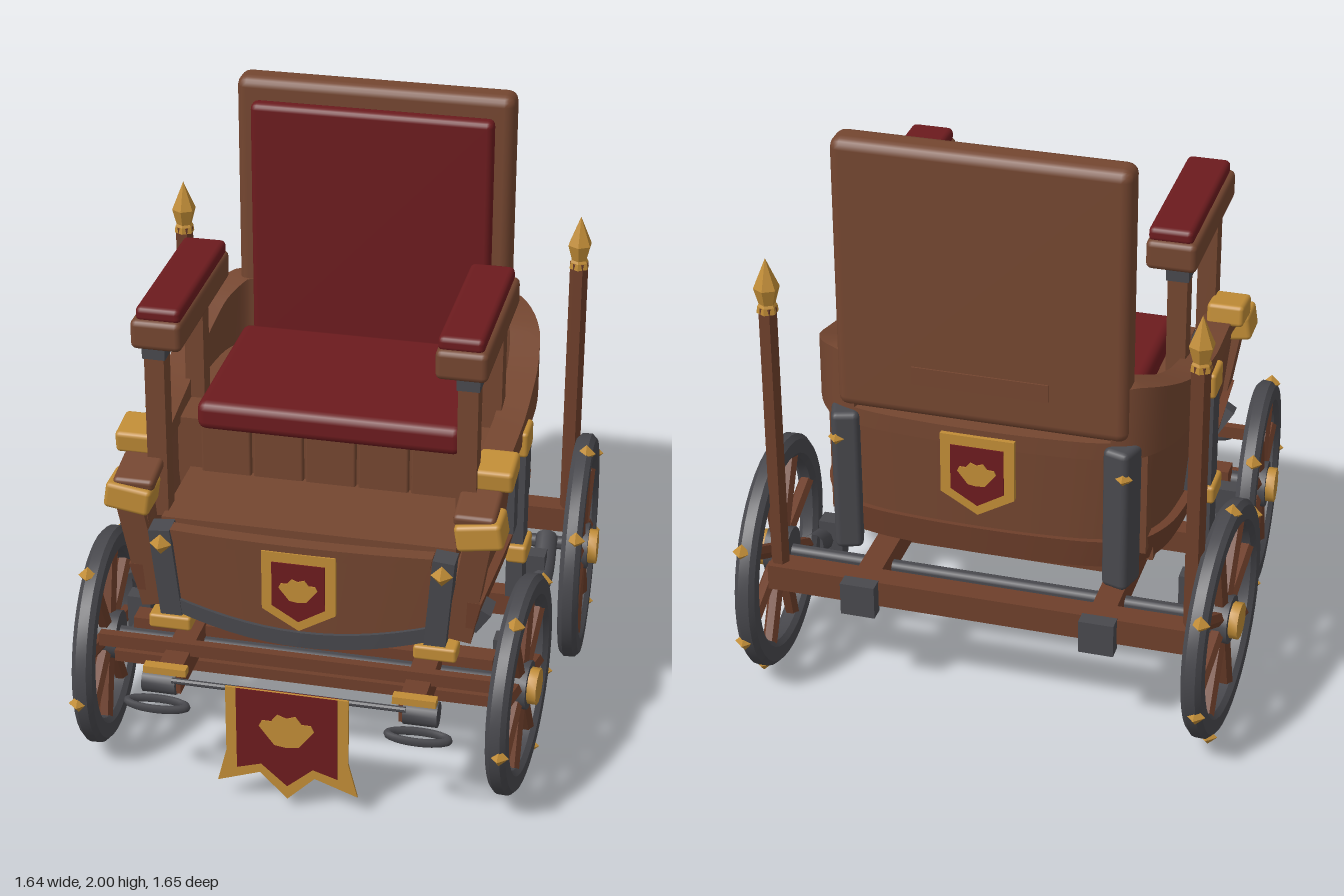
import * as THREE from 'three';
import { toCreasedNormals } from 'three/addons/utils/BufferGeometryUtils.js';
import { RoundedBoxGeometry } from 'three/addons/geometries/RoundedBoxGeometry.js';

const mat = (name, color) => Object.assign(new THREE.MeshStandardMaterial({ color }), { name });
const V = (x, y, z) => new THREE.Vector3(x, y, z);

export function createModel() {
  const root = new THREE.Group();
  root.name = 'carriageChair';
  const wood = mat('wood', 0x744630), redWood = mat('reddish wood', 0x6e3f2b);
  const iron = mat('dark iron', 0x48484d), gold = mat('gold', 0xc08c36), red = mat('red cloth', 0x6c1b1e);

  const add = (name, geo, m, x = 0, y = 0, z = 0, parent = root) => {
    const mesh = new THREE.Mesh(geo, m);
    mesh.name = name;
    mesh.position.set(x, y, z);
    parent.add(mesh);
    return mesh;
  };
  // Boxes given by their limits on each axis
  const box = (name, m, [x0, x1], [y0, y1], [z0, z1], r = 0) => add(name,
    r ? new RoundedBoxGeometry(x1 - x0, y1 - y0, z1 - z0, 2, r) : new THREE.BoxGeometry(x1 - x0, y1 - y0, z1 - z0),
    m, (x0 + x1) / 2, (y0 + y1) / 2, (z0 + z1) / 2);
  // Straight bar between two points; four sides make a beam
  const bar = (name, m, a, b, r, sides = 8, parent = root) => {
    const geo = toCreasedNormals(new THREE.CylinderGeometry(r, r, a.distanceTo(b), sides).rotateY(Math.PI / sides), 0.9);
    const mesh = add(name, geo, m, 0, 0, 0, parent);
    mesh.position.copy(a).lerp(b, 0.5);
    mesh.quaternion.setFromUnitVectors(V(0, 1, 0), b.clone().sub(a).normalize());
    return mesh;
  };
  const plate = (name, points, depth, m, parent, z = 0) => add(name,
    new THREE.ExtrudeGeometry(new THREE.Shape(points.map(p => new THREE.Vector2(...p))), { depth, bevelEnabled: false }),
    m, 0, 0, z, parent);
  const mirrored = p => [...p, ...p.filter(q => q[0] !== 0).reverse().map(([x, y]) => [-x, y])];

  // Tub: a U-shaped wall swept round the sides and back
  const half = [[0.575, 0.54], [0.59, 0.25], [0.6, -0.05], [0.595, -0.28], [0.565, -0.44], [0.49, -0.55], [0.38, -0.59], [0.19, -0.61]];
  const outline = [...half, [0, -0.615], ...half.slice().reverse().map(([x, z]) => [-x, z])];
  const curve = new THREE.CatmullRomCurve3(outline.map(([x, z]) => V(x, 0, z)));
  const heights = [[0.55, 1.0], [0.3, 1.07], [0, 1.1], [-0.25, 1.165], [-0.55, 1.27], [-1, 1.27]];
  const rimTop = (x, z) => {
    if (Math.abs(x) < 0.42) return 1.08;
    for (let i = 1; i < heights.length; i++) {
      const [za, ya] = heights[i - 1], [zb, yb] = heights[i];
      if (z >= zb) return ya + (yb - ya) * Math.max(0, (z - za) / (zb - za));
    }
    return 1.27;
  };
  const wall = (name, m, out, thick, y0, y1, taper) => {
    const n = 64, pos = [], idx = [];
    for (let i = 0; i <= n; i++) {
      const p = curve.getPoint(i / n), t = curve.getTangent(i / n);
      const at = (d, y, k) => pos.push((p.x + t.z * d) * k, y, (p.z - t.x * d) * (k + 1) / 2);
      const lo = y0(p.x, p.z), hi = y1(p.x, p.z);
      at(-out, lo, taper); at(-out, hi, 1); at(thick - out, hi, 1); at(thick - out, lo, taper);
    }
    for (let i = 0; i < n; i++) for (let j = 0; j < 4; j++) {
      const a = i * 4 + j, b = i * 4 + (j + 1) % 4;
      idx.push(a, a + 4, b + 4, a, b + 4, b);
    }
    const e = n * 4;
    idx.push(0, 1, 2, 0, 2, 3, e, e + 2, e + 1, e, e + 3, e + 2);
    const geo = new THREE.BufferGeometry();
    geo.setAttribute('position', new THREE.Float32BufferAttribute(pos, 3));
    geo.setIndex(idx);
    add(name, toCreasedNormals(geo, 0.6), m);
  };
  const railBottom = (x, z) => Math.min(1.02, rimTop(x, z) - 0.05);
  wall('tubWall', wood, 0, 0.06, () => 0.7, railBottom, 0.95);
  wall('tubRail', wood, 0.015, 0.1, railBottom, rimTop, 1);
  wall('tubSill', redWood, 0, 0.08, () => 0.61, () => 0.71, 0.96);
  box('tubFloor', wood, [-0.53, 0.53], [0.6, 0.66], [-0.48, 0.47]);

  // Curved front panel with top rail and arched iron edge
  const frontPart = (name, m, w, low, high, z0, z1) => {
    const geo = new THREE.BoxGeometry(2 * w, 1, z1 - z0, 14, 1, 1), p = geo.attributes.position;
    for (let i = 0; i < p.count; i++) {
      const x = p.getX(i), y = p.getY(i) < 0 ? low(x) : high(x);
      p.setXYZ(i, x * (0.87 + (y - 0.53) * 0.4), y, p.getZ(i) + (z0 + z1) / 2 + 0.025 * (1 - (x / 0.48) ** 2) + 0.04 * (y - 0.7));
    }
    add(name, toCreasedNormals(geo, 0.6), m);
  };
  const arch = h => x => h + 0.3 * x * x;
  frontPart('frontPanel', wood, 0.48, arch(0.53), () => 0.86, 0.505, 0.55);
  frontPart('frontTopRail', wood, 0.42, () => 0.835, () => 0.875, 0.515, 0.565);
  frontPart('frontIronEdge', iron, 0.48, arch(0.495), arch(0.55), 0.49, 0.562);

  // Footboard, seat and backrest
  box('footboard', wood, [-0.48, 0.48], [0.8, 0.86], [0.1, 0.475]);
  box('seatBase', wood, [-0.52, 0.52], [0.66, 1.04], [-0.54, 0.13]);
  for (let i = -2; i <= 2; i++) box('seatFrontPlank', wood, [i * 0.176 - 0.084, i * 0.176 + 0.084], [0.84, 1.04], [0.12, 0.15], 0.008);
  box('seatCushion', red, [-0.44, 0.44], [1.03, 1.13], [-0.44, 0.19], 0.03);
  box('backrest', wood, [-0.47, 0.47], [1.08, 2.0], [-0.605, -0.495], 0.035);
  box('backrestFoot', wood, [-0.42, 0.42], [1.0, 1.12], [-0.57, -0.5]);
  box('backrestGrip', wood, [-0.22, 0.22], [1.2, 1.26], [-0.61, -0.6]);
  box('backCushion', red, [-0.41, 0.41], [1.05, 1.93], [-0.5, -0.44], 0.022);

  // Wheel with spokes, hub and studs at given angles round the rim
  const wheel = (s, x, y, z, r, toe, studs) => {
    const g = new THREE.Group();
    g.name = 'wheel';
    g.position.set(s * x, y, z);
    g.rotation.y = s * toe;
    root.add(g);
    const w = 0.033, d = 0.08, c = 0.016;
    const prof = [[r - d, -w + c], [r - d + c, -w], [r - c, -w], [r, -w + c], [r, w - c], [r - c, w], [r - d + c, w], [r - d, w - c], [r - d, -w + c]];
    const rim = new THREE.LatheGeometry(prof.map(p => new THREE.Vector2(...p)), 40).rotateZ(Math.PI / 2);
    add('rim', toCreasedNormals(rim, 0.5), iron, 0, 0, 0, g);
    for (let i = 0; i < 8; i++) {
      const a = (i + 0.35) * Math.PI / 4, u = V(0, Math.sin(a), Math.cos(a));
      bar('spoke', redWood, u.clone().multiplyScalar(0.05), u.clone().multiplyScalar(r - 0.04), 0.025, 6, g);
    }
    for (const deg of studs) {
      const a = deg * Math.PI / 180;
      add('rimStud', new THREE.OctahedronGeometry(0.032), gold, s * 0.014, Math.sin(a) * (r - 0.008), Math.cos(a) * (r - 0.008), g);
    }
    bar('hub', iron, V(-s * 0.045, 0, 0), V(s * 0.035, 0, 0), 0.08, 16, g);
    bar('hubCap', gold, V(s * 0.03, 0, 0), V(s * 0.065, 0, 0), 0.06, 10, g);
  };

  for (const s of [-1, 1]) {
    const X = (a, b) => s > 0 ? [a, b] : [-b, -a];
    // Armrest on two posts
    box('armrest', wood, X(0.4, 0.565), [1.445, 1.545], [-0.125, 0.475], 0.02);
    box('armPad', red, X(0.405, 0.55), [1.535, 1.585], [-0.11, 0.46], 0.018);
    for (const [z, y] of [[0.4, 0.84], [-0.055, 1.0]]) {
      box('armPost', wood, X(0.468, 0.532), [y, 1.41], [z - 0.035, z + 0.035]);
      box('armPostCap', iron, X(0.463, 0.537), [1.4, 1.446], [z - 0.04, z + 0.04]);
    }
    // Tub corner posts, iron straps and gold clamps
    bar('cornerPost', wood, V(s * 0.5, 0.56, 0.48), V(s * 0.565, 0.96, 0.52), 0.06, 4);
    bar('cornerIron', iron, V(s * 0.52, 0.58, 0.43), V(s * 0.57, 0.66, 0.45), 0.05, 4);
    bar('frontStrap', iron, V(s * 0.43, 0.53, 0.525), V(s * 0.46, 0.87, 0.545), 0.05, 4);
    add('strapStud', new THREE.OctahedronGeometry(0.036), gold, s * 0.455, 0.82, 0.58);
    box('frontFootClamp', gold, X(0.365, 0.505), [0.5, 0.55], [0.5, 0.575], 0.01);
    box('frontCornerClamp', gold, X(0.49, 0.64), [0.915, 1.005], [0.44, 0.572], 0.015).rotation.z = s * 0.15;
    box('cornerCap', wood, X(0.48, 0.615), [1.0, 1.04], [0.4, 0.555], 0.015).rotation.x = 0.2;
    box('railClamp', gold, X(0.52, 0.645), [1.05, 1.125], [0.28, 0.42], 0.015).rotation.x = 0.12;
    box('sidePanel', iron, X(0.57, 0.603), [0.72, 0.96], [-0.23, 0.1]);
    box('sideStrap', iron, X(0.57, 0.625), [0.44, 1.03], [-0.06, 0.03]);
    box('sideClampTop', gold, X(0.57, 0.632), [0.975, 1.065], [-0.07, 0.045], 0.012);
    box('sideClampLow', gold, X(0.57, 0.64), [0.58, 0.645], [-0.075, 0.05], 0.012);
    box('rearStrap', iron, X(0.405, 0.495), [0.57, 1.07], [-0.635, -0.53], 0.02).rotation.y = s * 0.3;
    add('rearStrapStud', new THREE.OctahedronGeometry(0.03), gold, s * 0.465, 0.98, -0.63);

    // Chassis rail, tow hook, spring and supports
    box('chassisRail', redWood, X(0.355, 0.435), [0.37, 0.455], [-0.66, 0.74]);
    box('railEndClamp', gold, X(0.335, 0.475), [0.44, 0.465], [0.715, 0.75]);
    box('rearBracket', iron, X(0.34, 0.455), [0.35, 0.465], [-0.685, -0.635]);
    bar('towKnuckle', iron, V(s * 0.37, 0.4, 0.72), V(s * 0.48, 0.4, 0.72), 0.042, 12);
    const ring = add('towRing', new THREE.TorusGeometry(0.095, 0.016, 8, 24).rotateX(Math.PI / 2), iron, s * 0.425, 0.345, 0.775);
    ring.scale.z = 0.32;
    const spring = new THREE.CatmullRomCurve3([V(s * 0.64, 0.42, -0.43), V(s * 0.65, 0.35, -0.25), V(s * 0.62, 0.32, 0), V(s * 0.61, 0.32, 0.18)]);
    add('spring', new THREE.TubeGeometry(spring, 20, 0.038, 10), iron);
    add('springEnd', new THREE.SphereGeometry(0.05, 14, 10), iron, s * 0.61, 0.31, 0.28);
    bar('springLink', iron, V(s * 0.61, 0.32, 0.16), V(s * 0.61, 0.36, 0.44), 0.025);
    for (const z of [-0.28, -0.015, 0.28]) box('springBracket', iron, X(0.58, 0.66), [0.3, 0.44], [z - 0.03, z + 0.03]);

    // Rear lantern pole with pointed finial
    bar('pole', redWood, V(s * 0.69, 0.42, -0.595), V(s * 0.69, 1.4, -0.595), 0.031, 6);
    const finial = [[0, 0], [0.035, 0], [0.032, 0.022], [0.027, 0.03], [0.042, 0.085], [0, 0.185]];
    const lathe = new THREE.LatheGeometry(finial.map(p => new THREE.Vector2(...p)), 6);
    add('finial', toCreasedNormals(lathe, 0.3), gold, s * 0.69, 1.38, -0.595);

    wheel(s, 0.752, 0.395, -0.44, 0.39, 0.045, [32, 85, 150, 201, 241]);
    wheel(s, 0.69, 0.37, 0.44, 0.36, -0.055, [63, 138, 204, 247, 351]);
  }

  // Axles and cross beams
  bar('rearAxle', iron, V(-0.72, 0.395, -0.44), V(0.72, 0.395, -0.44), 0.024, 12);
  bar('frontAxle', iron, V(-0.66, 0.37, 0.44), V(0.66, 0.37, 0.44), 0.032, 12);
  box('rearBeam', redWood, [-0.72, 0.72], [0.37, 0.46], [-0.64, -0.56]);
  for (const [z, w] of [[-0.2, 0.4], [-0.015, 0.6], [0.4, 0.6]]) box('crossBeam', redWood, [-w, w], [0.36, 0.44], [z - 0.035, z + 0.035]);
  box('frontBeam', redWood, [-0.66, 0.66], [0.44, 0.485], [0.595, 0.625]);
  box('frontLowBar', redWood, [-0.64, 0.64], [0.325, 0.365], [0.5, 0.53]);
  box('steeringBar', iron, [-0.6, 0.6], [0.29, 0.33], [0.36, 0.39]);
  bar('bannerRod', iron, V(-0.38, 0.425, 0.752), V(0.38, 0.425, 0.752), 0.01);

  // Leafy emblem shared by crests and banner
  const leaf = mirrored([[0, -0.055], [0.04, -0.05], [0.065, -0.02], [0.09, 0.01], [0.08, 0.03], [0.05, 0.03], [0.03, 0.055], [0, 0.045]]);
  const scaled = (pts, kx, ky, dy) => pts.map(([x, y]) => [x * kx, y * ky + dy]);
  const flag = mirrored([[0, 0.04], [0.09, 0.13], [0.23, 0.08], [0.2, 0.2], [0.2, 0.44]]);
  const field = mirrored([[0, 0.09], [0.085, 0.165], [0.165, 0.14], [0.165, 0.44]]);
  // Banner, the same on both faces
  for (const turn of [0, Math.PI]) {
    const g = new THREE.Group();
    g.name = 'bannerFace';
    g.position.z = 0.766;
    g.rotation.y = turn;
    root.add(g);
    plate('bannerBorder', flag, 0.004, gold, g);
    plate('bannerField', field, 0.003, red, g, 0.004);
    plate('bannerEmblem', scaled(leaf, 1, 1.1, 0.3), 0.003, gold, g, 0.007);
  }

  // Shield crests on front and back
  const shield = mirrored([[0, -0.14], [0.12, -0.07], [0.12, 0.14]]);
  for (const [y, z, turn] of [[0.71, 0.588, 0], [0.92, -0.632, Math.PI]]) {
    const g = new THREE.Group();
    g.name = 'crest';
    g.position.set(0, y, z);
    g.rotation.y = turn;
    root.add(g);
    plate('crestBorder', shield, 0.018, gold, g, -0.006);
    plate('crestField', scaled(shield, 0.72, 0.75, 0), 0.004, red, g, 0.012);
    plate('crestEmblem', scaled(leaf, 0.7, 0.75, 0.01), 0.004, gold, g, 0.016);
  }
  return root;
}
